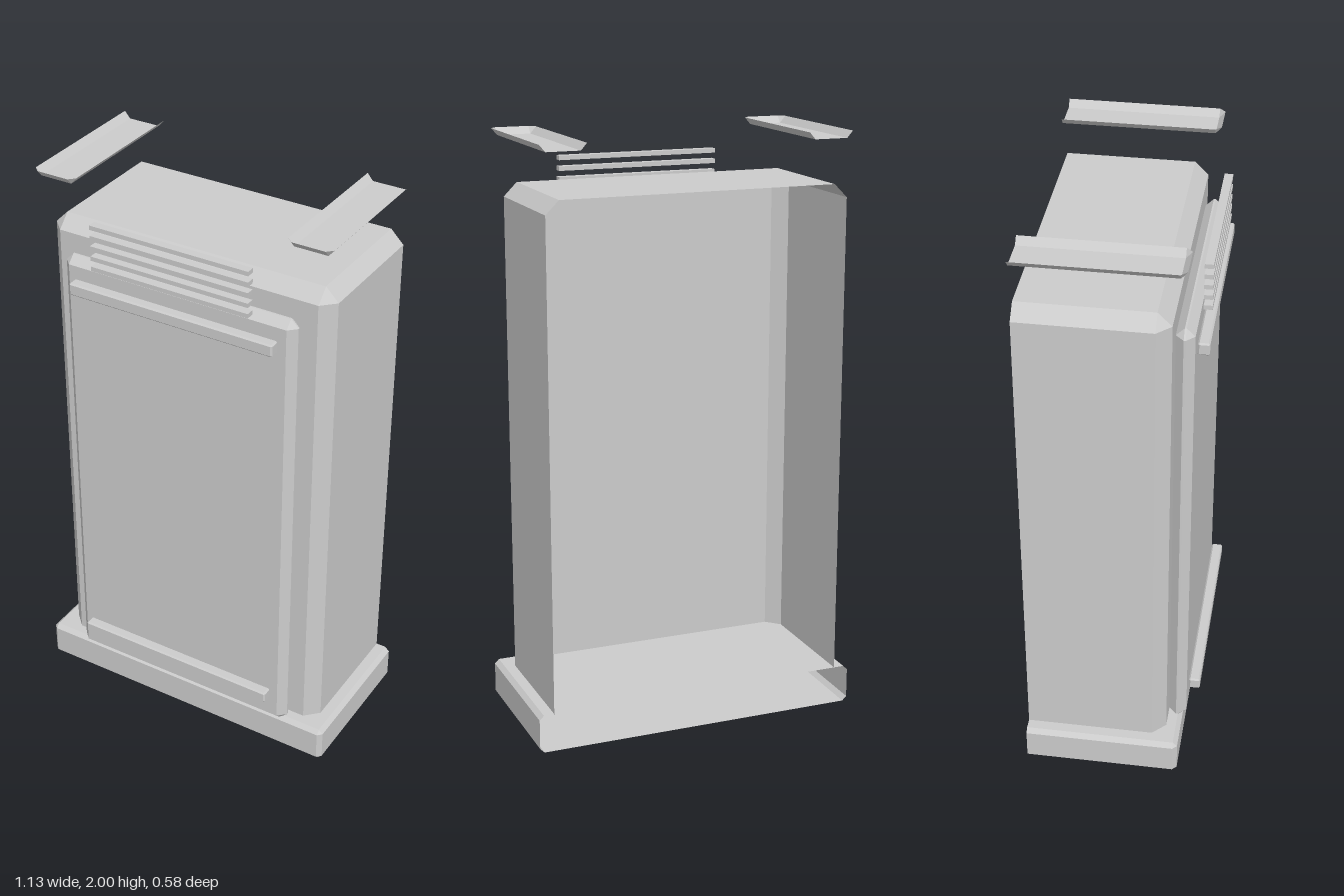
import * as THREE from 'three';

const grey = new THREE.MeshStandardMaterial({ color: 0xcccccc, side: THREE.DoubleSide });
grey.name = 'plain grey';
const BACK = -0.29; // the housing is open on this plane

// Flat-shaded mesh from a list of polygons (arrays of [x, y, z]); collapsed triangles are dropped
function polyMesh(name, polygons) {
  const pos = [];
  const tri = new THREE.Triangle();
  for (const p of polygons) {
    for (let i = 1; i < p.length - 1; i++) {
      tri.a.set(...p[0]);
      tri.b.set(...p[i]);
      tri.c.set(...p[i + 1]);
      if (tri.getArea() > 1e-8) pos.push(...p[0], ...p[i], ...p[i + 1]);
    }
  }
  const geo = new THREE.BufferGeometry();
  geo.setAttribute('position', new THREE.Float32BufferAttribute(pos, 3));
  geo.computeVertexNormals();
  const mesh = new THREE.Mesh(geo, grey);
  mesh.name = name;
  return mesh;
}

// Quads between consecutive cross-sections
function strips(sections, closed) {
  const quads = [];
  for (let s = 0; s < sections.length - 1; s++) {
    const a = sections[s], b = sections[s + 1], n = a.length;
    for (let i = 0; i < (closed ? n : n - 1); i++) {
      const j = (i + 1) % n;
      quads.push([a[i], a[j], b[j], b[i]]);
    }
  }
  return quads;
}

// Box with bevelled edges, c wide; optionally open at the back or at the bottom
function bevelBox(name, w, y0, y1, z0, z1, c, { openBack = false, openBottom = false } = {}) {
  const cb = openBottom ? 0 : c, u = w - c;
  // counter-clockwise from the lower right, starting on the right side
  const outer = (z) => [
    [w, y0 + cb, z], [w, y1 - c, z], [u, y1, z], [-u, y1, z],
    [-w, y1 - c, z], [-w, y0 + cb, z], [-u, y0, z], [u, y0, z],
  ];
  const lo = y0 + cb, hi = y1 - c;
  const inner = (z) => [
    [u, lo, z], [u, hi, z], [u, hi, z], [-u, hi, z],
    [-u, hi, z], [-u, lo, z], [-u, lo, z], [u, lo, z],
  ];
  const sections = openBack
    ? [outer(z0), outer(z1 - c), inner(z1)]
    : [inner(z0), outer(z0 + c), outer(z1 - c), inner(z1)];
  let faces = strips(sections, true);
  if (openBottom) faces = faces.filter((f) => !f.every((p) => p[1] === y0));
  const cap = (z) => [[u, lo, z], [u, hi, z], [-u, hi, z], [-u, lo, z]];
  faces.push(cap(z1));
  if (!openBack) faces.push(cap(z0).reverse());
  return polyMesh(name, faces);
}

// Shallow tray with sloping walls, open above and at the back
function tray(name, x0, x1, y0, y1, zf, c) {
  const a = x0 + c, b = x1 - c, z = zf - c;
  const floor = [[a, y0, BACK], [a, y0, z], [a, y0, z], [b, y0, z], [b, y0, z], [b, y0, BACK]];
  const rim = [[x0, y1, BACK], [x0, y1, z], [a, y1, zf], [b, y1, zf], [x1, y1, z], [x1, y1, BACK]];
  const faces = strips([floor, rim], false);
  faces.push([floor[0], floor[5], floor[3], floor[1]]);
  return polyMesh(name, faces);
}

export function createModel() {
  const model = new THREE.Group();
  model.name = 'cabinet';

  // Plinth and hollow housing
  model.add(bevelBox('base', 0.567, 0, 0.132, BACK, 0.236, 0.015, { openBack: true }));
  model.add(bevelBox('housing', 0.516, 0.128, 1.83, BACK, 0.188, 0.045, { openBack: true, openBottom: true }));

  // Front door with its two bars
  model.add(bevelBox('door', 0.425, 0.118, 1.735, 0.189, 0.249, 0.027));
  model.add(bevelBox('upperBar', 0.372, 1.624, 1.667, 0.253, 0.291, 0.005));
  model.add(bevelBox('lowerBar', 0.372, 0.224, 0.266, 0.253, 0.291, 0.005));

  // Vent slats
  const vent = new THREE.Group();
  vent.name = 'vent';
  const slatGeo = new THREE.BoxGeometry(0.57, 0.015, 0.028);
  for (let i = 0; i < 5; i++) {
    const slat = new THREE.Mesh(slatGeo, grey);
    slat.name = 'ventSlat';
    slat.position.set(0, 1.742 + i * 0.036, 0.273);
    vent.add(slat);
  }
  model.add(vent);

  // Top rails
  model.add(tray('leftTopRail', 0.378, 0.532, 1.977, 2, 0.235, 0.02));
  model.add(tray('rightTopRail', -0.532, -0.378, 1.977, 2, 0.235, 0.02));

  return model;
}
